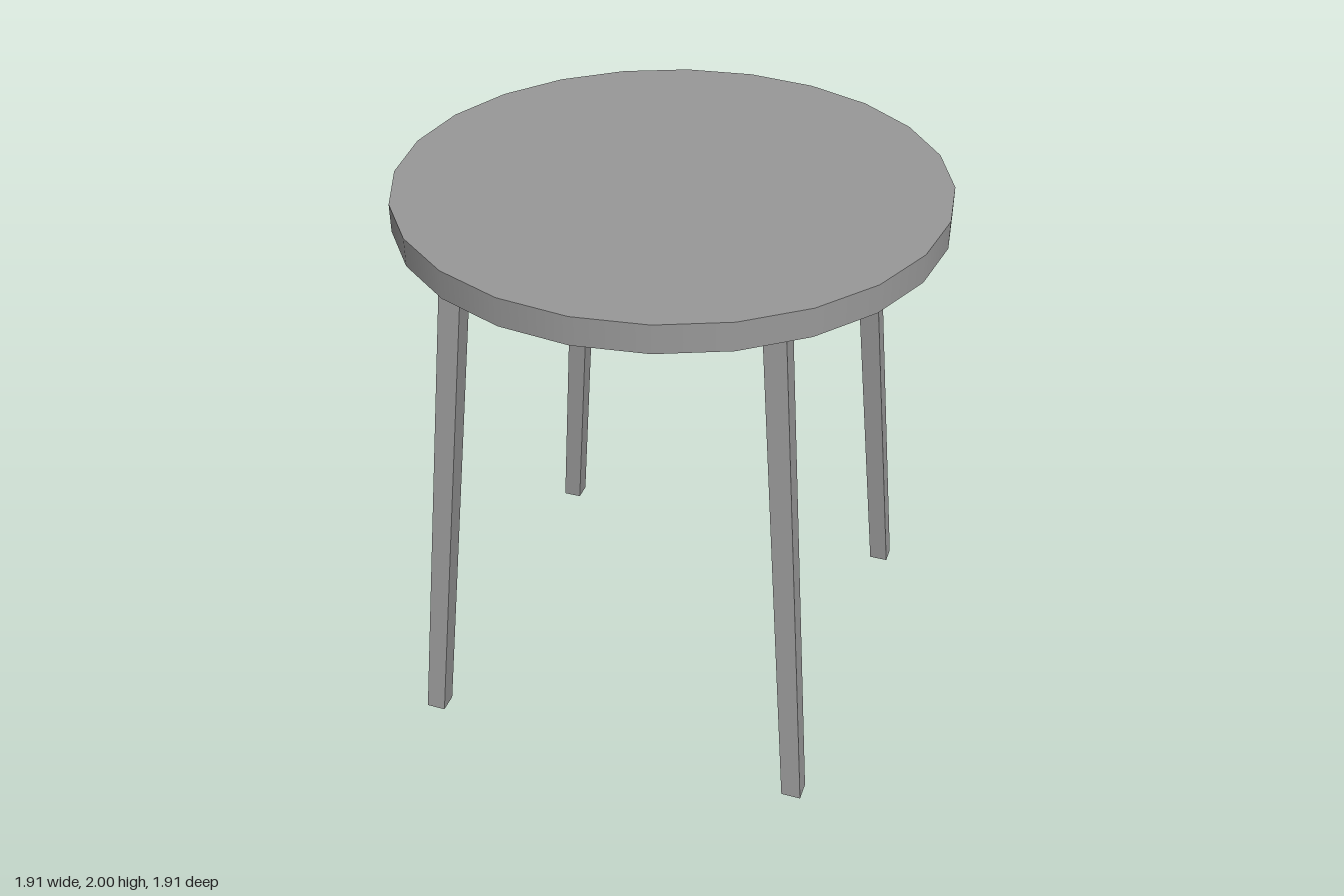
import * as THREE from 'three';

const material = new THREE.MeshStandardMaterial({ color: 0x999999 });

// Square leg with level ends, leaning from its foot to the seat
function legGeometry(foot, head, height) {
  const geometry = new THREE.BoxGeometry(1, height, 1).translate(0, height / 2, 0);
  const p = geometry.attributes.position;
  for (let i = 0; i < p.count; i++) {
    const end = p.getY(i) > height / 2 ? head : foot;
    p.setX(i, end.x + p.getX(i) * end.width);
    p.setZ(i, end.z + p.getZ(i) * end.width);
  }
  geometry.computeVertexNormals();
  return geometry;
}

export function createModel() {
  const model = new THREE.Group();
  model.name = 'stool';

  // Round seat
  const seat = new THREE.Mesh(new THREE.CylinderGeometry(0.953, 0.953, 0.1, 24), material);
  seat.name = 'seat';
  seat.position.y = 1.95;
  model.add(seat);

  // Four splayed legs
  for (const sx of [1, -1]) {
    for (const sz of [1, -1]) {
      const foot = { x: sx * 0.705, z: sz * 0.712, width: 0.07 };
      const head = { x: sx * 0.54, z: sz * 0.592, width: 0.077 };
      const leg = new THREE.Mesh(legGeometry(foot, head, 1.9), material);
      leg.name = (sz > 0 ? 'front' : 'back') + (sx > 0 ? 'Left' : 'Right') + 'Leg';
      model.add(leg);
    }
  }
  return model;
}
